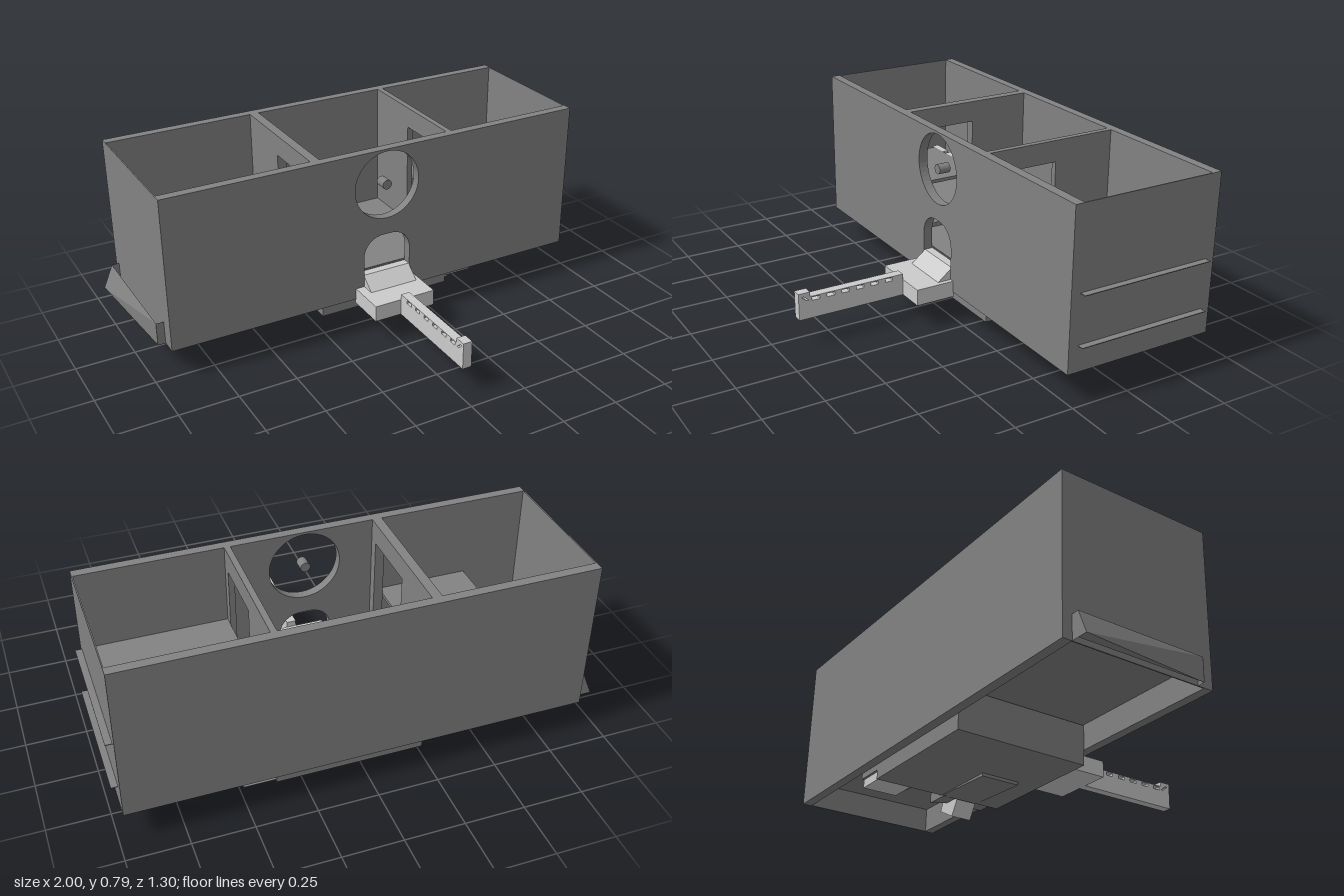
import * as THREE from 'three';
import { ConvexGeometry } from 'three/addons/geometries/ConvexGeometry.js';

const dark = new THREE.MeshStandardMaterial({ color: 0x828282, flatShading: true, side: THREE.DoubleSide });
const light = new THREE.MeshStandardMaterial({ color: 0xcccccc, flatShading: true, side: THREE.DoubleSide });

export function createModel() {
  const model = new THREE.Group();

  const add = (name, geometry, material = dark) => {
    const mesh = new THREE.Mesh(geometry, material);
    mesh.name = name;
    model.add(mesh);
    return mesh;
  };
  // Box given by its limits on each axis
  const box = (name, [x0, x1], [y0, y1], [z0, z1], material) => {
    const g = new THREE.BoxGeometry(x1 - x0, y1 - y0, z1 - z0);
    g.translate((x0 + x1) / 2, (y0 + y1) / 2, (z0 + z1) / 2);
    return add(name, g, material);
  };
  const outline = (points) => new THREE.Shape(points.map(([a, b]) => new THREE.Vector2(a, b)));
  const rect = (a0, a1, b0, b1) => outline([[a0, b0], [a1, b0], [a1, b1], [a0, b1]]);
  // Shape drawn in x, y and extruded along z
  const alongZ = (name, shape, z0, z1, material) => {
    const g = new THREE.ExtrudeGeometry(shape, { depth: z1 - z0, bevelEnabled: false, curveSegments: 24 });
    g.translate(0, 0, z0);
    return add(name, g, material);
  };
  // Shape drawn in z, y and extruded along x
  const alongX = (name, shape, x0, x1, material) => {
    const g = new THREE.ExtrudeGeometry(shape, { depth: x1 - x0, bevelEnabled: false });
    g.rotateY(-Math.PI / 2);
    g.translate(x1, 0, 0);
    return add(name, g, material);
  };

  // Front wall with a round window and an arched doorway
  const front = rect(-0.925, 0.973, 0.13, 0.79);
  const dial = new THREE.Path();
  dial.absarc(0.05, 0.63, 0.15, 0, Math.PI * 2);
  const door = new THREE.Path();
  door.moveTo(-0.06, 0.17);
  door.lineTo(0.16, 0.17);
  door.lineTo(0.16, 0.315);
  door.absarc(0.07, 0.315, 0.09, 0, Math.PI / 2);
  door.absarc(0.03, 0.315, 0.09, Math.PI / 2, Math.PI);
  door.closePath();
  front.holes.push(dial, door);
  alongZ('frontWall', front, -0.03, 0.01);
  const hub = new THREE.CylinderGeometry(0.021, 0.021, 0.05, 20).rotateX(Math.PI / 2);
  add('windowHub', hub.translate(0.05, 0.63, -0.015));

  // Remaining walls, floor and loft
  box('backWall', [-0.925, 0.973], [0.13, 0.79], [-0.65, -0.61]);
  box('endWall', [-0.925, -0.92], [0.13, 0.79], [-0.61, -0.03]);
  box('endWall', [0.968, 0.973], [0.13, 0.79], [-0.61, -0.03]);
  box('floor', [-0.92, 1], [0.238, 0.241], [-0.61, -0.03]);
  box('loft', [0.38, 1], [0.446, 0.449], [-0.61, -0.03]);

  // Dividers with doorways
  for (const [x0, x1] of [[-0.28, -0.24], [0.355, 0.38]]) {
    const divider = rect(-0.61, -0.03, 0.24, 0.79);
    divider.holes.push(rect(-0.34, -0.07, 0.26, 0.7));
    alongX('divider', divider, x0, x1);
  }

  // Landing, its edge strips and the stair leading up to it
  box('landing', [-0.67, -0.28], [0.43, 0.445], [-0.4, -0.03]);
  for (const [x0, x1] of [[-0.69, -0.595], [-0.57, -0.43], [-0.4, -0.3]])
    box('landingStrip', [x0, x1], [0.43, 0.445], [-0.43, -0.4], light);
  const steps = 8, run = 0.33 / steps;
  for (let i = 0; i < steps; i++) {
    const top = 0.24 + 0.2 * (i + 1) / steps;
    box('stairTread', [-0.76, -0.67], [top - 0.02, top], [-0.03 - (i + 1) * run, -0.03 - i * run], light);
  }

  // Porch block, door ramp and perforated arm
  box('porch', [-0.1, 0.18], [0.11, 0.18], [0.005, 0.18], light);
  alongX('doorRamp', outline([[0.07, 0.18], [0.005, 0.232], [-0.03, 0.232], [-0.03, 0.18]]), -0.06, 0.16, light);
  const arm = outline([[0.18, 0.11], [0.65, 0.11], [0.65, 0.225], [0.6, 0.225], [0.6, 0.205], [0.18, 0.205]]);
  for (let i = 0; i < 6; i++) {
    const z = 0.245 + i * 0.066;
    arm.holes.push(rect(z - 0.017, z + 0.017, 0.186, 0.2));
  }
  arm.holes.push(outline([[0.605, 0.19], [0.615, 0.19], [0.638, 0.208], [0.628, 0.21]]));
  alongX('arm', arm, 0.02, 0.06, light);

  // Underside housing with its side ledges
  box('housing', [-0.24, 0.37], [0.065, 0.235], [-0.61, -0.03]);
  box('housingLedge', [0.37, 0.5], [0.095, 0.14], [-0.135, -0.03]);
  box('housingLedge', [0.37, 0.5], [0.105, 0.14], [-0.61, -0.4]);
  box('housingBlock', [0.37, 0.5], [0.07, 0.105], [-0.6, -0.45], light);

  // Chute, its flap and the tilted spout
  alongX('chute', outline([[-0.135, 0.095], [-0.175, 0.135], [-0.305, 0.135], [-0.305, 0.058], [-0.225, 0.075]]), 0.36, 0.46);
  alongZ('flap', outline([[0.06, 0.052], [0.37, 0.064], [0.37, 0.07], [0.06, 0.066]]), -0.305, -0.135);
  alongZ('spout', outline([[0.415, 0.003], [0.508, 0.05], [0.49, 0.095], [0.365, 0.09]]), -0.225, -0.135, light);

  // Slanted hopper on the end wall, open on top
  const v = (x, y, z) => new THREE.Vector3(x, y, z);
  add('endHopper', new ConvexGeometry([
    v(-1, 0.13, -0.61), v(-0.957, 0.13, -0.61), v(-0.957, 0.23, -0.61), v(-0.957, 0.13, -0.06), v(-0.957, 0.23, -0.06),
  ]));
  for (const z of [-0.61, -0.06])
    add('hopperSide', new THREE.PlaneGeometry(0.034, 0.1).translate(-0.941, 0.18, z));

  return model;
}
